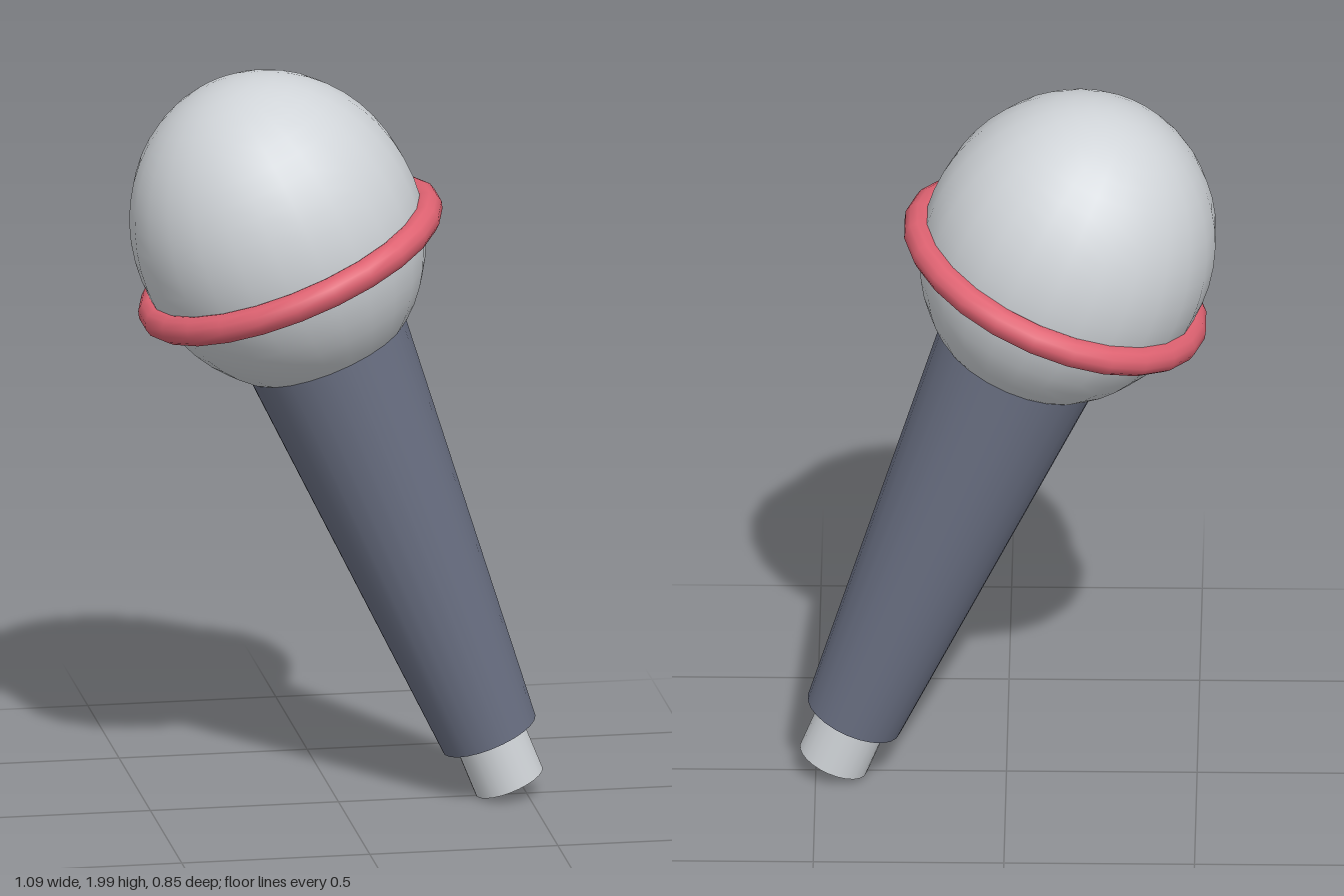
import * as THREE from 'three';

export function createModel() {
  const material = (name, color) => new THREE.MeshStandardMaterial({ name, color });
  const silver = material('silver', 0xd0d4d8);
  const slate = material('slate', 0x6a7083);
  const red = material('red', 0xde6271);

  const SIDES = 24;
  const HALF_STEP = Math.PI / SIDES;

  const model = new THREE.Group();
  model.name = 'microphone';

  // Everything sits on one tilted axis; its origin is the top of the handle.
  const body = new THREE.Group();
  body.name = 'tiltedBody';
  body.position.set(-0.035, 1.26, 0);
  body.rotation.z = 0.381;
  model.add(body);

  const add = (name, geometry, mat, y) => {
    const mesh = new THREE.Mesh(geometry, mat);
    mesh.name = name;
    mesh.position.y = y;
    body.add(mesh);
    return mesh;
  };

  // Tapered cylinder between two heights on the axis
  const taper = (name, mat, rTop, rBottom, top, bottom) =>
    add(name, new THREE.CylinderGeometry(rTop, rBottom, top - bottom, SIDES).rotateY(HALF_STEP),
      mat, (top + bottom) / 2);

  // Slightly elongated head
  const head = new THREE.SphereGeometry(0.383, SIDES, 24).rotateY(HALF_STEP);
  head.scale(1, 0.432 / 0.383, 1);
  add('head', head, silver, 0.34);

  // Ring around the lower half of the head
  const ring = new THREE.TorusGeometry(0.387, 0.04, 12, SIDES).rotateX(Math.PI / 2).rotateY(HALF_STEP);
  add('ring', ring, red, 0.25);

  // Handle and the plug at its end
  taper('handle', slate, 0.222, 0.131, 0, -1.171);
  taper('plug', silver, 0.095, 0.095, -1.12, -1.314);

  return model;
}
